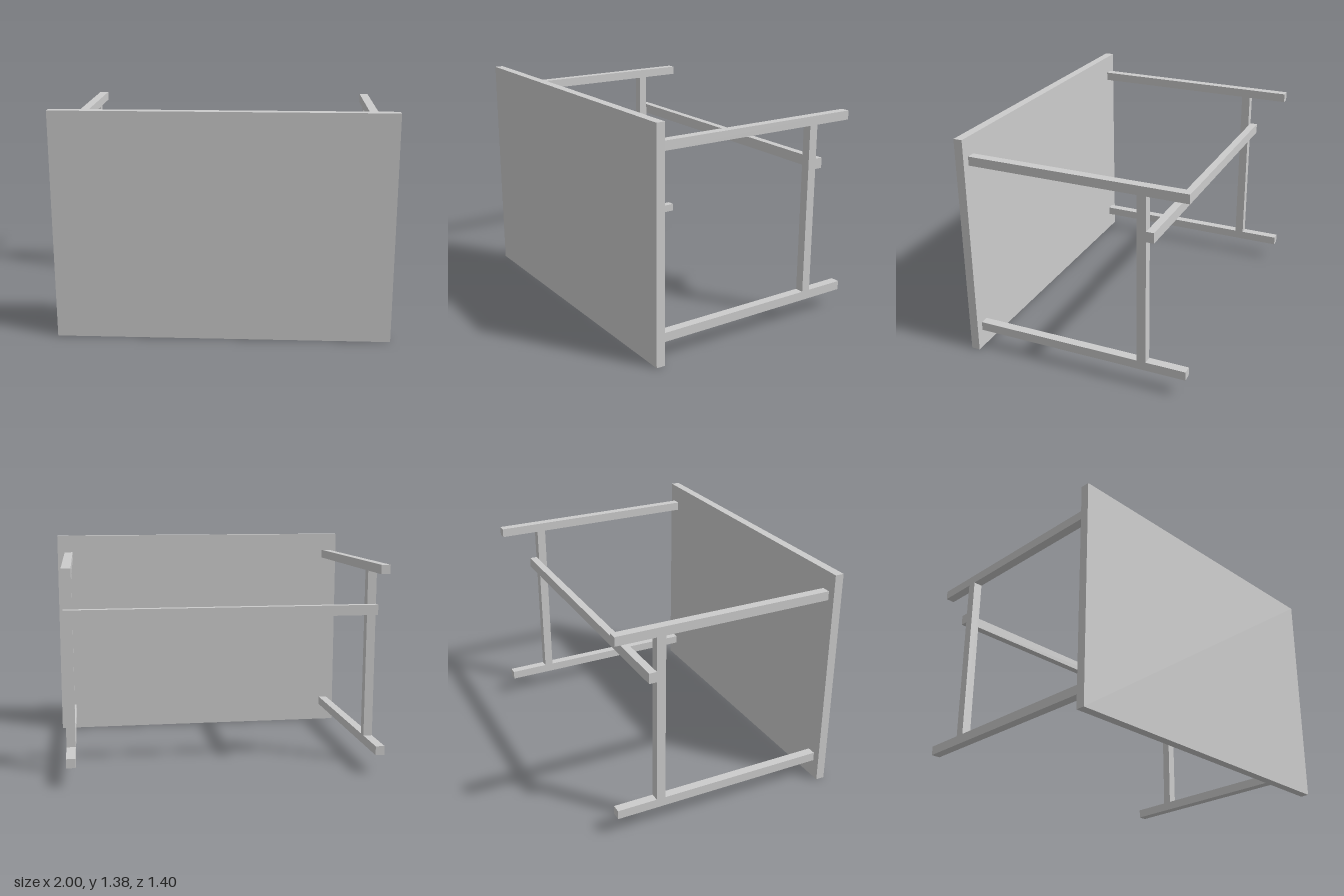
import * as THREE from 'three';

const material = new THREE.MeshStandardMaterial({ color: 0xcccccc, flatShading: true });

// Box given by its lower and upper limits on each axis
function bar(name, [x0, x1], [y0, y1], [z0, z1]) {
  const mesh = new THREE.Mesh(new THREE.BoxGeometry(x1 - x0, y1 - y0, z1 - z0), material);
  mesh.position.set((x0 + x1) / 2, (y0 + y1) / 2, (z0 + z1) / 2);
  mesh.name = name;
  return mesh;
}

// A table lying on its long edge: top facing forward, legs pointing back
export function createModel() {
  const group = new THREE.Group();
  group.name = 'table';

  const front = 0.698, topBack = 0.644, legEnd = -0.698;
  const lowerLeg = [0.115, 0.17], upperLeg = [1.211, 1.266];

  group.add(bar('tableTop', [-1, 1], [0, 1.381], [topBack, front]));

  for (const [side, x] of [['left', [0.897, 0.952]], ['right', [-0.952, -0.897]]]) {
    group.add(bar(side + 'LowerLeg', x, lowerLeg, [legEnd, topBack]));
    group.add(bar(side + 'UpperLeg', x, upperLeg, [legEnd, topBack]));
    // Stretcher joining the two legs at this end
    group.add(bar(side + 'Stretcher', x, [lowerLeg[1], upperLeg[0]], [-0.453, -0.398]));
  }

  // Long rail resting across both stretchers
  group.add(bar('longRail', [-0.952, 0.952], [0.943, 1.006], [-0.5, -0.453]));

  return group;
}
